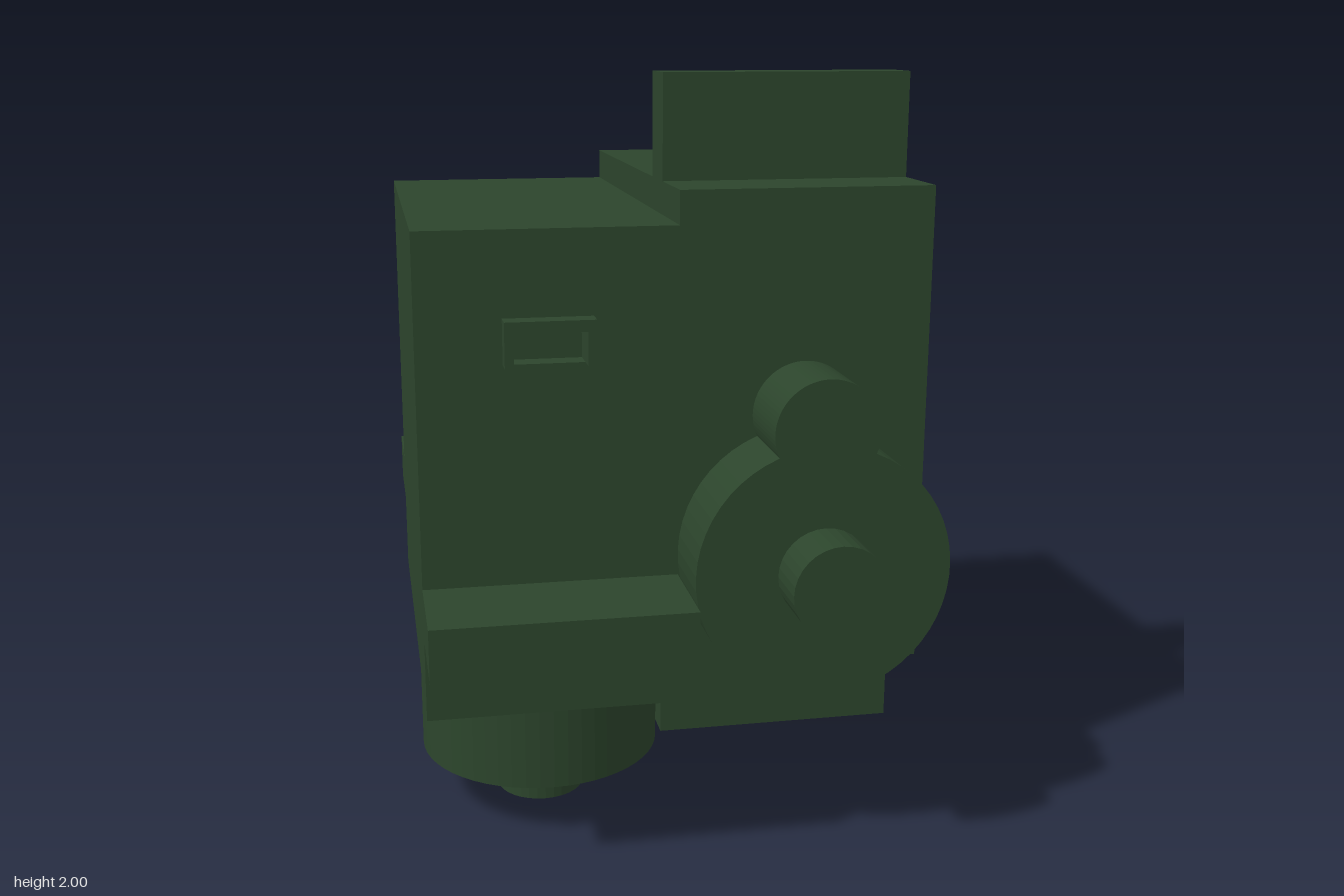
import * as THREE from 'three';

const W = 0.664, L = 1.277;      // body width, and its length / height
const R = 0.332, r = 0.137, D = 0.365; // gear housing radii and centre distance

function rect(path, x0, y0, x1, y1) {
  path.moveTo(x0, y0);
  path.lineTo(x1, y0);
  path.lineTo(x1, y1);
  path.lineTo(x0, y1);
  path.closePath();
  return path;
}

// One servo: width along x, length along y (from 0), output shaft along +z (back at 0)
function makeServo(material) {
  const servo = new THREE.Group();
  const add = (name, geometry, x, y, z) => {
    const mesh = new THREE.Mesh(geometry, material);
    mesh.name = name;
    mesh.position.set(x, y, z);
    servo.add(mesh);
    return mesh;
  };
  const extrude = (shape, depth) =>
    new THREE.ExtrudeGeometry(shape, { depth, bevelEnabled: false, curveSegments: 24 });

  // Body, with a thin end wall that holds the cable opening
  const wall = 0.06;
  add('body', new THREE.BoxGeometry(W, L - wall, L), 0, (L + wall) / 2, L / 2);
  const end = rect(new THREE.Shape(), -W / 2, 0, W / 2, L);
  end.holes.push(rect(new THREE.Path(), -0.0925, 0.25, 0.0925, 0.337));
  add('endWall', extrude(end, wall).rotateX(Math.PI / 2), 0, wall, 0);

  // Three-sided cable guard around the opening
  const guard = new THREE.Shape([
    [-0.115, 0.22], [0.115, 0.22], [0.115, 0.337], [0.0925, 0.337],
    [0.0925, 0.25], [-0.0925, 0.25], [-0.0925, 0.337], [-0.115, 0.337],
  ].map(([x, y]) => new THREE.Vector2(x, y)));
  add('cableGuard', extrude(guard, 0.055).rotateX(Math.PI / 2), 0, 0, 0);

  // Mounting tabs at both ends
  const tab = 0.277;
  for (const [name, y] of [['lowerTab', -tab / 2], ['upperTab', L + tab / 2]]) {
    add(name, new THREE.BoxGeometry(W, tab, 0.14), 0, y, 0.985);
  }

  // Gear housing: the union of a large and a small disc
  const a = Math.acos((R * R + D * D - r * r) / (2 * R * D));
  const b = Math.acos((r * r + D * D - R * R) / (2 * r * D));
  const up = Math.PI / 2;
  const housing = new THREE.Shape();
  housing.absarc(0, 0, R, up + a, up - a + 2 * Math.PI, false);
  housing.absarc(0, D, r, -up + b, -up - b + 2 * Math.PI, false);
  add('gearHousing', extrude(housing, 0.22), 0, R, L);

  // Output shaft
  const shaft = new THREE.CylinderGeometry(0.121, 0.121, 0.143, 32).rotateX(Math.PI / 2);
  add('outputShaft', shaft, 0, R, L + 0.22 + 0.0715);
  return servo;
}

export function createModel() {
  const model = new THREE.Group();
  const material = new THREE.MeshStandardMaterial({ color: 0x2c452c, flatShading: true });

  // Left servo: shaft faces the front
  const left = makeServo(material);
  left.name = 'leftServo';
  left.position.set(W / 2, 0.45, -0.68);

  // Right servo: shaft faces down, length runs front to back
  const right = makeServo(material);
  right.name = 'rightServo';
  right.quaternion.setFromRotationMatrix(new THREE.Matrix4().makeBasis(
    new THREE.Vector3(-1, 0, 0), new THREE.Vector3(0, 0, -1), new THREE.Vector3(0, -1, 0)));
  right.position.set(-W / 2, 1.64, 0.598);

  model.add(left, right);
  return model;
}
